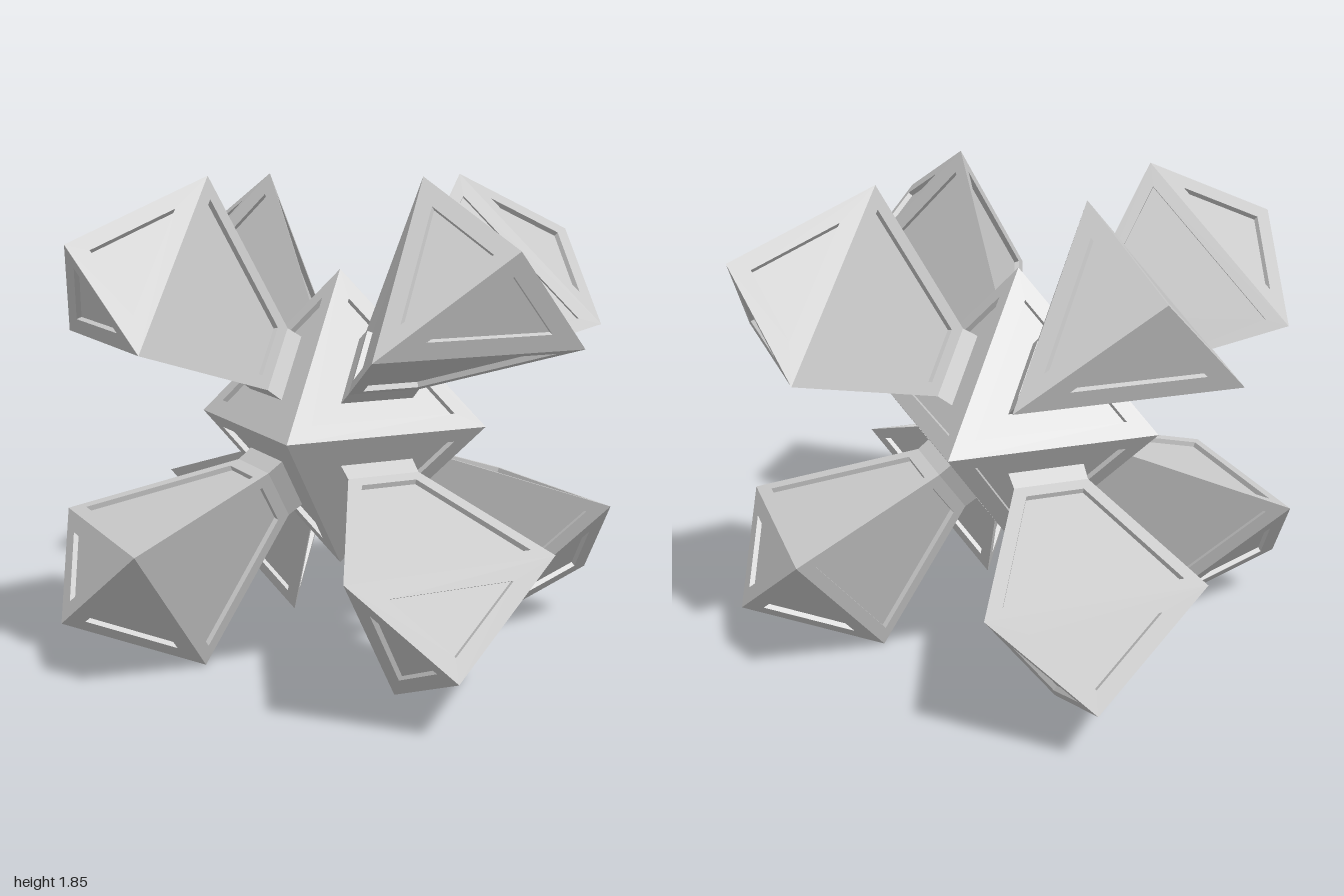
import * as THREE from 'three';

const material = new THREE.MeshStandardMaterial({ color: 0xcccccc, flatShading: true });
const CENTER_Y = 0.927;

// Fan-triangulates a convex polygon
function addPolygon(out, pts) {
  for (let i = 1; i < pts.length - 1; i++) {
    for (const p of [pts[0], pts[i], pts[i + 1]]) out.push(p.x, p.y, p.z);
  }
}

// Orders corners so the face looks away from an interior point
function outward(pts, inside) {
  const n = new THREE.Vector3().crossVectors(
    pts[1].clone().sub(pts[0]), pts[2].clone().sub(pts[0])).normalize();
  if (n.dot(pts[0].clone().sub(inside)) < 0) {
    return { pts: [...pts].reverse(), n: n.negate() };
  }
  return { pts, n };
}

// Flat face with a sunken panel: rim, walls and floor
function addPanel(out, corners, inside, inset, depth) {
  const { pts, n } = outward(corners, inside);
  const count = pts.length;
  const rim = pts.map((p, i) => {
    const prev = pts[(i + count - 1) % count];
    const next = pts[(i + 1) % count];
    const a = p.clone().sub(prev).normalize();
    const b = next.clone().sub(p).normalize();
    const na = n.clone().cross(a);
    const nb = n.clone().cross(b);
    return p.clone().addScaledVector(na.clone().add(nb), inset / (1 + na.dot(nb)));
  });
  const floor = rim.map((p) => p.clone().addScaledVector(n, -depth));
  for (let i = 0; i < count; i++) {
    const j = (i + 1) % count;
    addPolygon(out, [pts[i], pts[j], rim[j], rim[i]]);
    addPolygon(out, [rim[i], rim[j], floor[j], floor[i]]);
  }
  addPolygon(out, floor);
}

function makeMesh(out, name) {
  const geometry = new THREE.BufferGeometry();
  geometry.setAttribute('position', new THREE.Float32BufferAttribute(out, 3));
  geometry.computeVertexNormals();
  const mesh = new THREE.Mesh(geometry, material);
  mesh.name = name;
  return mesh;
}

// Triangle whose corners each reach furthest along one axis
function triangle(near, far, signs, shift = new THREE.Vector3()) {
  return [0, 1, 2].map((axis) => new THREE.Vector3(near, near, near)
    .setComponent(axis, far).add(shift).multiply(signs));
}

// Arm: short collar, flaring three-sided shaft and pointed cap
function makeArm(signs) {
  const out = [];
  const axis = signs.x * signs.y * signs.z > 0 ? 0 : 2;
  const lean = (amount) => new THREE.Vector3().setComponent(axis, amount);
  const base = triangle(0.115, 0.325, signs);
  const neck = triangle(0.155, 0.36, signs);
  const rim = triangle(0.353, 0.927, signs, lean(0.07));
  const apex = new THREE.Vector3(0.7, 0.7, 0.7).add(lean(0.145)).multiply(signs);
  const inside = new THREE.Vector3(0.48, 0.48, 0.48).add(lean(0.05)).multiply(signs);
  const collarInside = new THREE.Vector3(0.2, 0.2, 0.2).multiply(signs);
  for (let i = 0; i < 3; i++) {
    const j = (i + 1) % 3;
    addPolygon(out, outward([base[i], base[j], neck[j], neck[i]], collarInside).pts);
    addPanel(out, [neck[i], neck[j], rim[j], rim[i]], inside, 0.05, 0.02);
    addPanel(out, [rim[i], rim[j], apex], inside, 0.065, 0.02);
  }
  return makeMesh(out, 'arm');
}

export function createModel() {
  const group = new THREE.Group();
  group.name = 'starSculpture';
  const core = [];
  const arms = new THREE.Group();
  arms.name = 'arms';

  // One core face and one arm per octant
  for (const x of [1, -1]) for (const y of [1, -1]) for (const z of [1, -1]) {
    const signs = new THREE.Vector3(x, y, z);
    addPanel(core, triangle(0, 0.575, signs), new THREE.Vector3(), 0.065, 0.02);
    arms.add(makeArm(signs));
  }
  group.add(makeMesh(core, 'octahedronCore'), arms);
  for (const part of group.children) part.position.y = CENTER_Y;
  return group;
}
